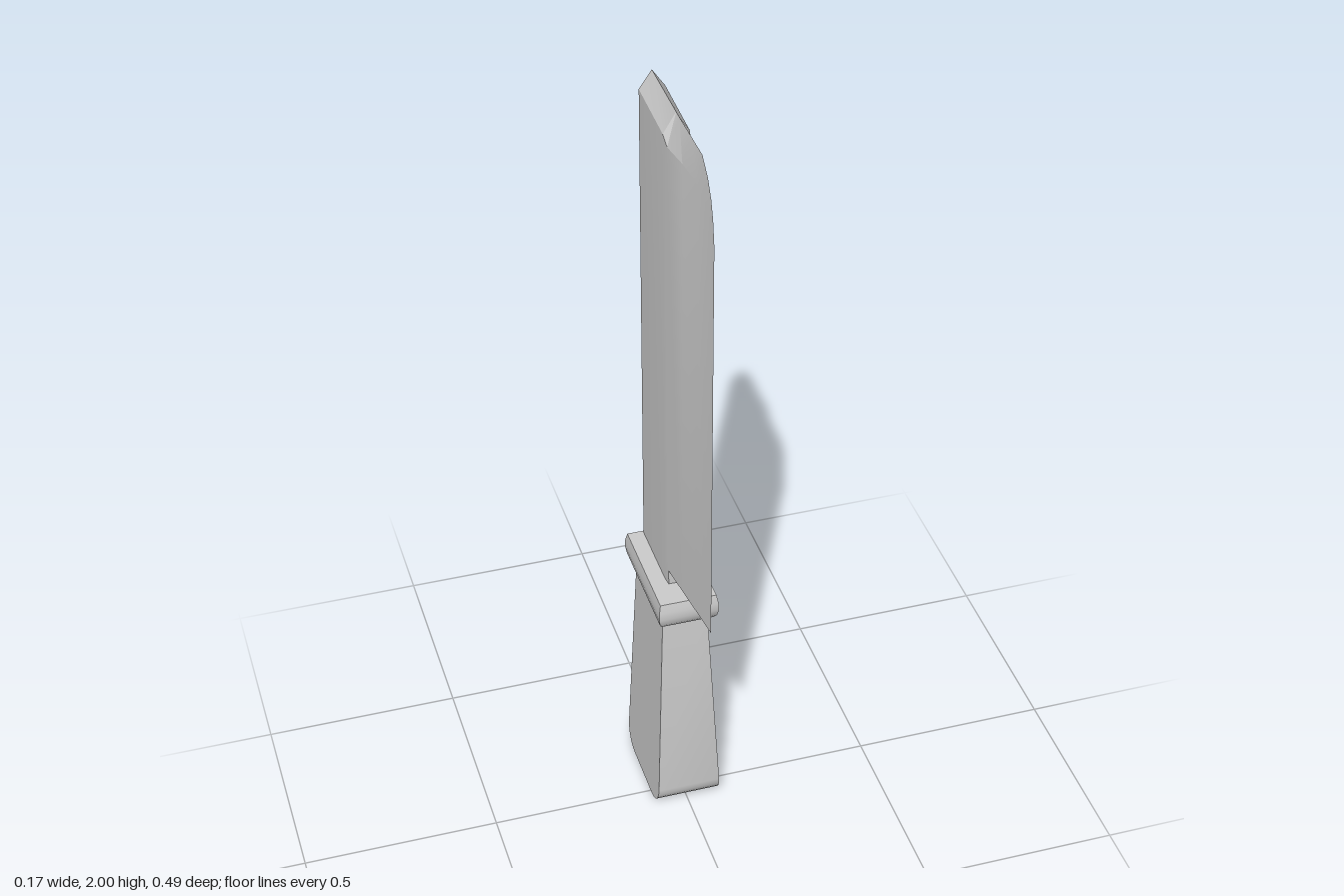
import * as THREE from 'three';
import { toCreasedNormals } from 'three/addons/utils/BufferGeometryUtils.js';

const material = new THREE.MeshStandardMaterial({ color: 0xcccccc });

// Skin a series of matching closed rings and cap both ends
function loft(name, rings, crease) {
  const n = rings[0].length;
  const index = [];
  for (let i = 0; i < rings.length - 1; i++) {
    for (let j = 0; j < n; j++) {
      const a = i * n + j, b = i * n + (j + 1) % n;
      index.push(a, b, b + n, a, b + n, a + n);
    }
  }
  const last = (rings.length - 1) * n;
  for (let j = 1; j < n - 1; j++) {
    index.push(0, j + 1, j, last, last + j, last + j + 1);
  }
  const geometry = new THREE.BufferGeometry();
  geometry.setAttribute('position', new THREE.Float32BufferAttribute(rings.flat(2), 3));
  geometry.setIndex(index);
  const mesh = new THREE.Mesh(toCreasedNormals(geometry, crease), material);
  mesh.name = name;
  return mesh;
}

// Horizontal rectangle: height, half width, back and front
const rect = (y, hx, back, front) =>
  [[hx, y, front], [hx, y, back], [-hx, y, back], [-hx, y, front]];

function makeHandle() {
  const rings = [];
  const r = 0.06, steps = 6;
  const halfWidth = (y) => 0.084 - 0.026 * y / 0.6;
  // Bottom rounded from front to back only
  for (let i = 0; i <= steps; i++) {
    const a = (i / steps) * Math.PI / 2;
    const y = r * (1 - Math.cos(a)), inset = r * (1 - Math.sin(a));
    rings.push(rect(y, halfWidth(y), -0.214 + inset, 0.069 - inset));
  }
  rings.push(rect(0.62, halfWidth(0.62), -0.204, 0.029));
  return loft('handle', rings, 0.5);
}

function makeGuard() {
  // Height and inset of the bulging collar
  const profile = [[0.595, 0.028], [0.602, 0.015], [0.615, 0.005], [0.635, 0], [0.655, 0.001], [0.678, 0.007]];
  const rings = profile.map(([y, inset]) =>
    rect(y, 0.077 - inset * 0.7, -0.243 + inset, 0.067 - inset));
  return loft('guard', rings, 0.6);
}

function makeBlade() {
  // z, bottom, shoulder of the top bevel, top ridge
  const stations = [
    [-0.23, 0.64, 1.955, 2.0],
    [-0.04, 0.64, 1.945, 1.996],
    [-0.015, 0.64, 1.925, 1.996],
    [-0.015, 0.72, 1.925, 1.996],
    [0.07, 0.721, 1.93, 1.997],
    [0.155, 0.723, 1.925, 1.998],
    [0.195, 0.724, 1.9, 1.965],
    [0.22, 0.724, 1.875, 1.925],
    [0.235, 0.725, 1.845, 1.88],
    [0.245, 0.725, 1.82, 1.82],
  ];
  const rings = stations.map(([z, bottom, shoulder, top]) => {
    const w = 0.031 * Math.min(1, (0.245 - z) / 0.285);
    return [[w, bottom, z], [w, shoulder, z], [0, top, z], [-w, shoulder, z], [-w, bottom, z]];
  });
  return loft('blade', rings, 0.35);
}

export function createModel() {
  const group = new THREE.Group();
  group.name = 'cleaver';
  group.add(makeHandle(), makeGuard(), makeBlade());
  return group;
}
